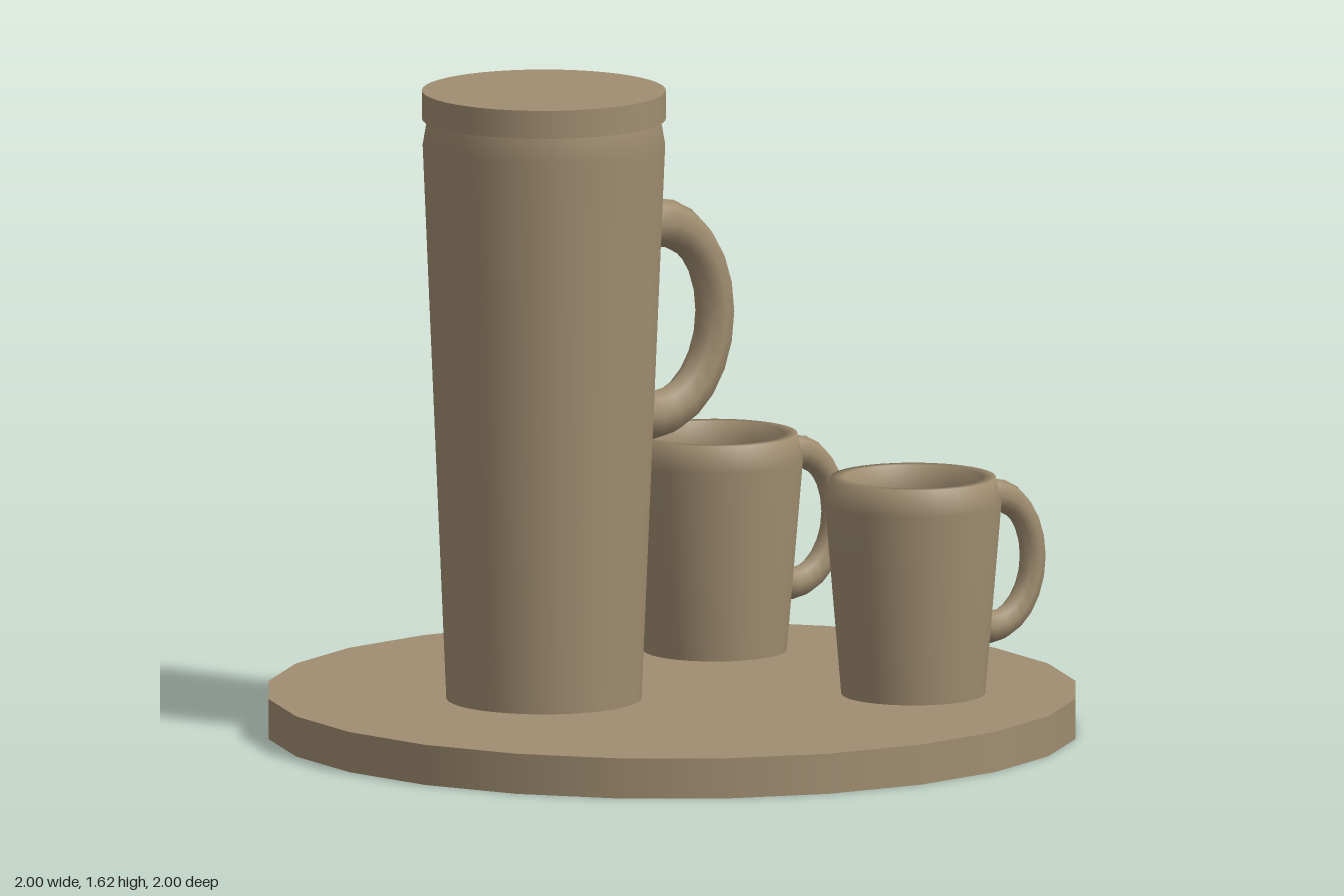
import * as THREE from 'three';

const clay = new THREE.MeshStandardMaterial({ color: 0xa08d70 });
clay.name = 'clay brown';

function add(parent, name, geometry, x = 0, y = 0, z = 0) {
  const mesh = new THREE.Mesh(geometry, clay);
  mesh.name = name;
  mesh.position.set(x, y, z);
  parent.add(mesh);
  return mesh;
}

// Smooth turned body from [radius, height] pairs
function turned(profile) {
  return new THREE.LatheGeometry(profile.map(([r, y]) => new THREE.Vector2(r, y)), 48);
}

// Closed oval ring, partly sunk into the vessel wall
function addHandle(parent, ring, tube, x, y) {
  const handle = add(parent, 'handle', new THREE.TorusGeometry(ring, tube, 8, 24), x, y, 0);
  handle.scale.set(0.79, 1, 0.82);
}

function makePot() {
  const pot = new THREE.Group();
  pot.name = 'pot';
  add(pot, 'potBody', turned([[0.24, 0], [0.298, 1.38], [0.286, 1.45]]));
  add(pot, 'lid', new THREE.CylinderGeometry(0.3, 0.3, 0.07, 48), 0, 1.48, 0);
  addHandle(pot, 0.24, 0.06, 0.34, 0.91);
  return pot;
}

function makeMug() {
  const mug = new THREE.Group();
  mug.name = 'mug';
  // Outer wall, rounded rim, inner wall and floor
  add(mug, 'mugBody', turned([
    [0.177, 0], [0.217, 0.475], [0.203, 0.54], [0.17, 0.54],
    [0.16, 0.48], [0.155, 0.06], [0, 0.05],
  ]));
  addHandle(mug, 0.165, 0.04, 0.24, 0.305);
  return mug;
}

export function createModel() {
  const model = new THREE.Group();
  model.name = 'coffeeSet';

  // Round tray
  add(model, 'tray', new THREE.CylinderGeometry(1, 1, 0.1, 24), 0, 0.05, 0);

  const pot = makePot();
  pot.position.set(-0.32, 0.1, -0.1);
  model.add(pot);

  for (const z of [-0.4, 0.4]) {
    const mug = makeMug();
    mug.position.set(0.44, 0.1, z);
    model.add(mug);
  }
  return model;
}
